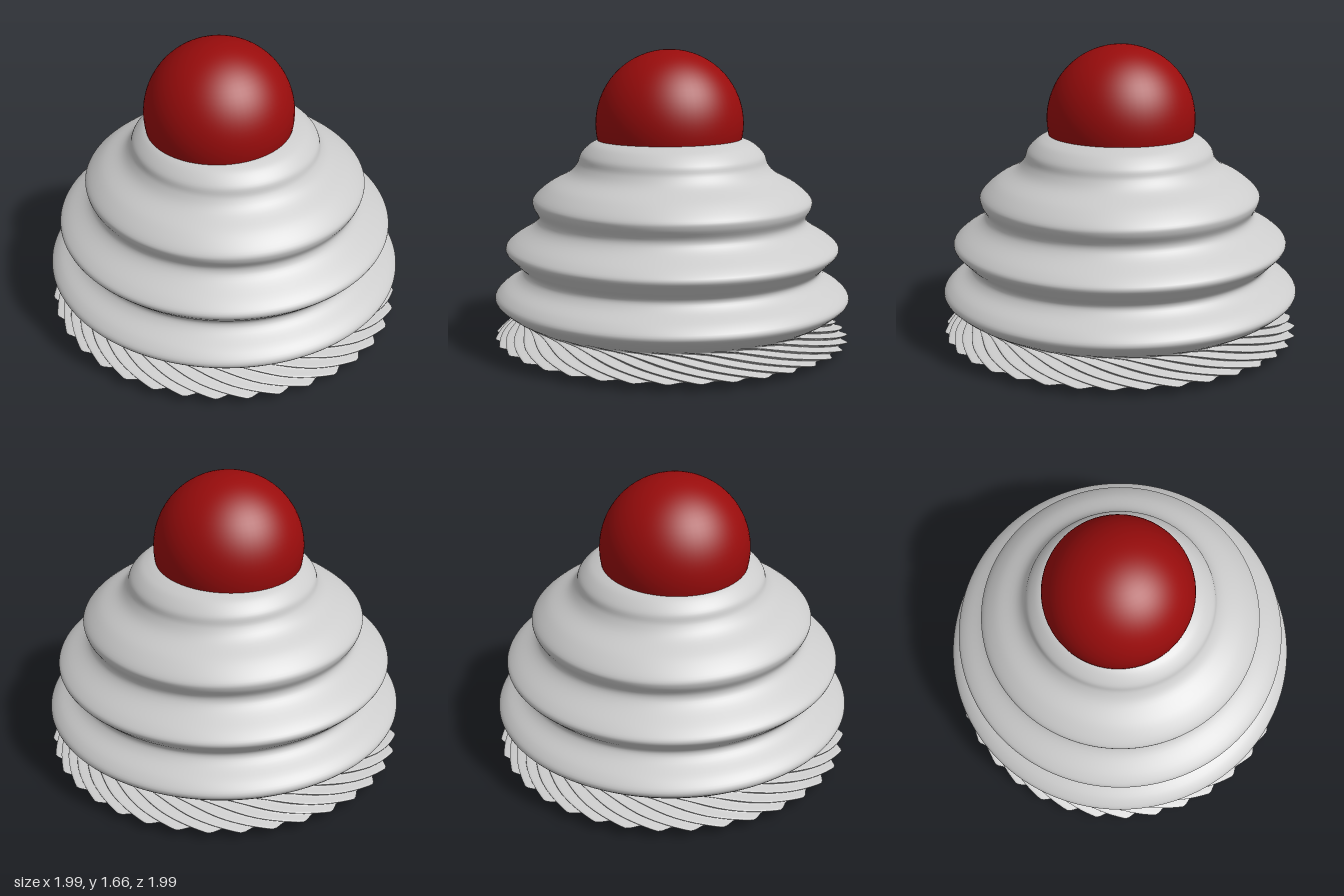
import * as THREE from 'three';
import { mergeVertices } from 'three/addons/utils/BufferGeometryUtils.js';

const TEETH = 36, SEGMENTS = 288, SKIRT_TOP = 0.2, TWIST = 0.85;

// Sweeps the low part of a lathe sideways and flutes it into slanted ridges
function swirlSkirt(geometry) {
  const p = geometry.attributes.position;
  for (let i = 0; i < p.count; i++) {
    const x = p.getX(i), y = p.getY(i), z = p.getZ(i);
    const r = Math.hypot(x, z);
    const low = THREE.MathUtils.clamp((SKIRT_TOP - y) / (SKIRT_TOP - 0.05), 0, 1);
    const fade = THREE.MathUtils.smoothstep(low, 0, 0.4) * THREE.MathUtils.smoothstep(r, 0.7, 0.85);
    const a = Math.atan2(x, z);
    const radius = r - fade * 0.02 * (1 - Math.cos(TEETH * a));
    const turned = a + TWIST * low;
    p.setXYZ(i, radius * Math.sin(turned), y, radius * Math.cos(turned));
  }
  geometry.deleteAttribute('uv');
  geometry.deleteAttribute('normal');
  const merged = mergeVertices(geometry, 1e-5);
  merged.computeVertexNormals();
  return merged;
}

const points = (list) => list.map(([r, y]) => new THREE.Vector2(r, y));

export function createModel() {
  const group = new THREE.Group();
  const grey = new THREE.MeshStandardMaterial({ color: 0xcccccc, side: THREE.DoubleSide });
  const red = new THREE.MeshStandardMaterial({ color: 0x990c0c });

  // Stacked cream layers over a fluted skirt
  const swirl = new THREE.Group();
  swirl.name = 'creamSwirl';
  const profile = new THREE.SplineCurve(points([
    [0.995, 0.057], [0.94, 0.10], [0.86, 0.145], [0.855, 0.175], [0.94, 0.23], [0.992, 0.285],
    [0.95, 0.34], [0.86, 0.395], [0.83, 0.445], [0.88, 0.50], [0.93, 0.56], [0.89, 0.61],
    [0.78, 0.68], [0.745, 0.735], [0.775, 0.80], [0.77, 0.845], [0.69, 0.915], [0.58, 0.975],
    [0.53, 1.03], [0.51, 1.085], [0.46, 1.135], [0.41, 1.16], [0.36, 1.175],
  ]));
  const layers = new THREE.Mesh(
    swirlSkirt(new THREE.LatheGeometry(profile.getPoints(110), SEGMENTS)), grey);
  layers.name = 'creamLayers';

  // Shallow curved underside sharing the skirt's scalloped edge
  const underside = new THREE.Mesh(swirlSkirt(new THREE.LatheGeometry(
    points([[0, 0.004], [0.3, 0.008], [0.6, 0.022], [0.85, 0.04], [0.995, 0.057]]), SEGMENTS)), grey);
  underside.name = 'underside';
  swirl.add(layers, underside);
  swirl.rotation.set(-0.005, 0, -0.008);

  // Cherry sunk slightly into the top
  const cherry = new THREE.Mesh(new THREE.SphereGeometry(0.412, 64, 40), red);
  cherry.name = 'cherry';
  cherry.position.set(-0.02, 1.248, 0.015);

  group.add(swirl, cherry);
  return group;
}
